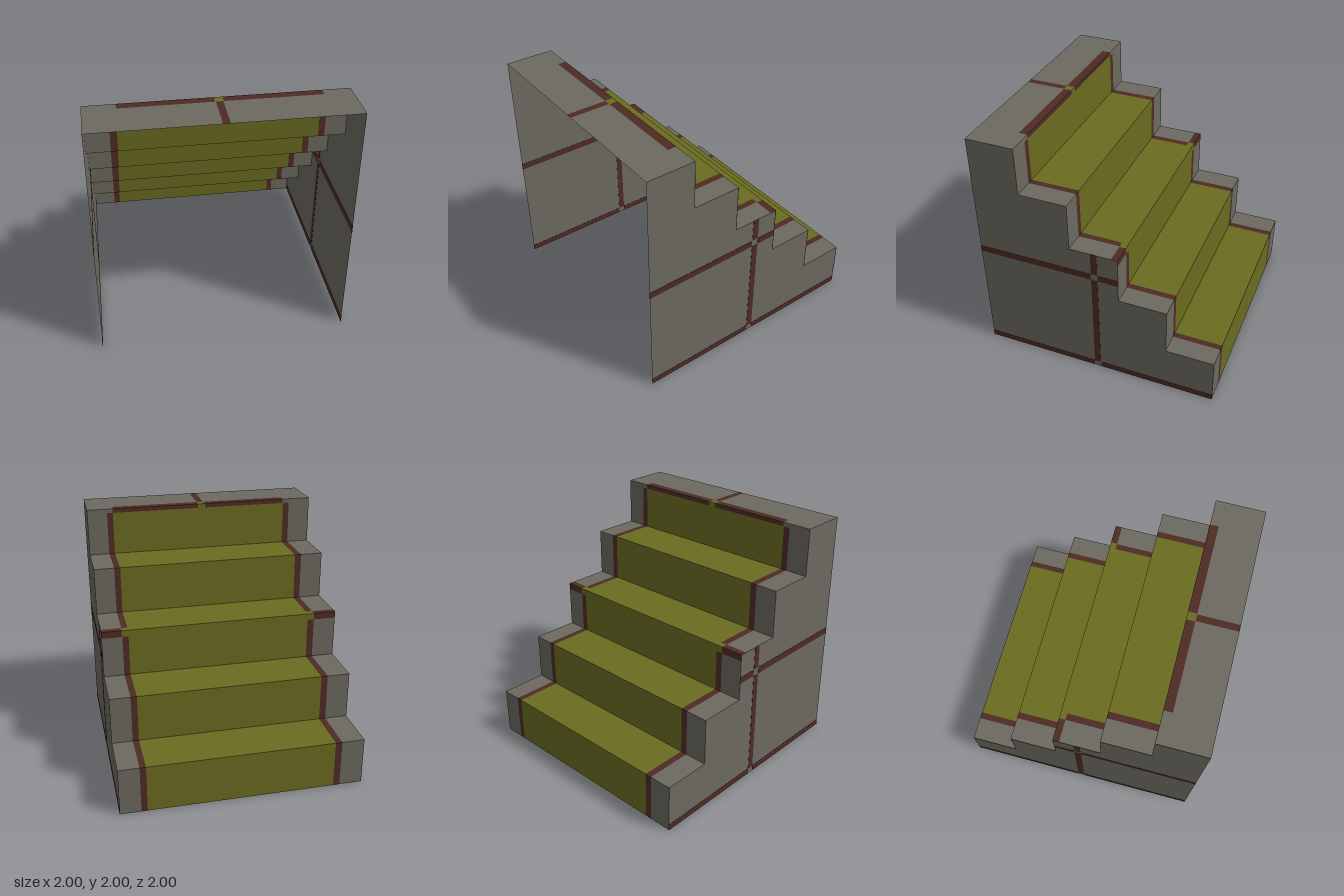
import * as THREE from 'three';

const flat = (name, color) => {
  const m = new THREE.MeshStandardMaterial({ color, side: THREE.DoubleSide });
  m.name = name;
  return m;
};

export function createModel() {
  const stone = flat('grey stone', 0x6c6960);
  const carpet = flat('olive carpet', 0x6a6b20);
  const trim = flat('brown trim', 0x4f2b24);
  const partNames = new Map([[stone, 'stone'], [carpet, 'carpet'], [trim, 'trim']]);

  const STEPS = 5, S = 0.4;
  const model = new THREE.Group();
  model.name = 'staircase';

  // Bands across the width: each entry is [right edge x, material], from x = -1
  const plain = [[-0.81, stone], [-0.755, trim], [0.78, carpet], [0.83, trim], [1, stone]];
  const crossing = [[-0.81, trim], [0.835, carpet], [1, trim]];
  const border = [[-0.75, stone], [-0.035, trim], [0.03, carpet], [0.78, trim], [1, stone]];
  const landing = [[-0.03, stone], [0.025, trim], [1, stone]];

  // Row of coloured faces on a riser (v = height) or tread (v = depth)
  function addRow(group, kind, i, v0, v1, bands) {
    let x0 = -1;
    for (const [x1, mat] of bands) {
      const g = new THREE.PlaneGeometry(x1 - x0, v1 - v0);
      const v = (v0 + v1) / 2, x = (x0 + x1) / 2;
      if (kind === 'riser') g.rotateY(Math.PI).translate(x, S * i + v, -1 + S * i);
      else g.rotateX(-Math.PI / 2).translate(x, S * (i + 1), -1 + S * i + v);
      const mesh = new THREE.Mesh(g, mat);
      mesh.name = `${kind} ${partNames.get(mat)}`;
      group.add(mesh);
      x0 = x1;
    }
  }

  // Steps climb towards +z; the third has a crossing seam, the fifth is the landing
  for (let i = 0; i < STEPS; i++) {
    const step = new THREE.Group();
    step.name = `step${i + 1}`;
    if (i === 2) {
      addRow(step, 'riser', i, 0, 0.345, plain);
      addRow(step, 'riser', i, 0.345, S, crossing);
      addRow(step, 'tread', i, 0, 0.055, crossing);
      addRow(step, 'tread', i, 0.055, S, plain);
    } else if (i === 4) {
      addRow(step, 'riser', i, 0, 0.365, plain);
      addRow(step, 'riser', i, 0.365, S, border);
      addRow(step, 'tread', i, 0, 0.07, border);
      addRow(step, 'tread', i, 0.07, S, landing);
    } else {
      addRow(step, 'riser', i, 0, S, plain);
      addRow(step, 'tread', i, 0, S, plain);
    }
    model.add(step);
  }

  // Stepped side wall outline, drawn in (-z, y) so that it faces +x once turned
  const outline = new THREE.Shape();
  outline.moveTo(-1, 0);
  outline.lineTo(1, 0);
  for (let i = 0; i < STEPS; i++) {
    outline.lineTo(1 - S * i, S * (i + 1));
    outline.lineTo(1 - S * (i + 1), S * (i + 1));
  }

  // Trim strips on the walls: [z0, z1, y0, y1]
  const strips = [
    [0.03, 1, 0, 0.05], [-1, -0.03, 0, 0.05],
    [0.03, 1, 0.945, 1], [-0.2, -0.03, 0.945, 1],
    [-0.027, 0.027, 0.05, 0.94], [-0.027, 0.027, 1.005, 1.2],
  ];

  for (const side of [1, -1]) {
    const wall = new THREE.Group();
    wall.name = side > 0 ? 'leftWall' : 'rightWall';
    const g = new THREE.ShapeGeometry(outline).rotateY(Math.PI / 2);
    if (side < 0) {
      // Reverse the winding so the other wall faces -x
      g.index.array.reverse();
      g.attributes.normal.array.forEach((n, k, a) => { a[k] = -n; });
    }
    const panel = new THREE.Mesh(g, stone);
    panel.name = 'wallPanel';
    wall.add(panel);
    // Thin strips show on both faces of the wall
    for (const [z0, z1, y0, y1] of strips) {
      const strip = new THREE.Mesh(new THREE.BoxGeometry(0.004, y1 - y0, z1 - z0), trim);
      strip.position.set(0, (y0 + y1) / 2, (z0 + z1) / 2);
      strip.name = 'wallTrim';
      wall.add(strip);
    }
    wall.position.x = side * 0.998;
    model.add(wall);
  }
  return model;
}
